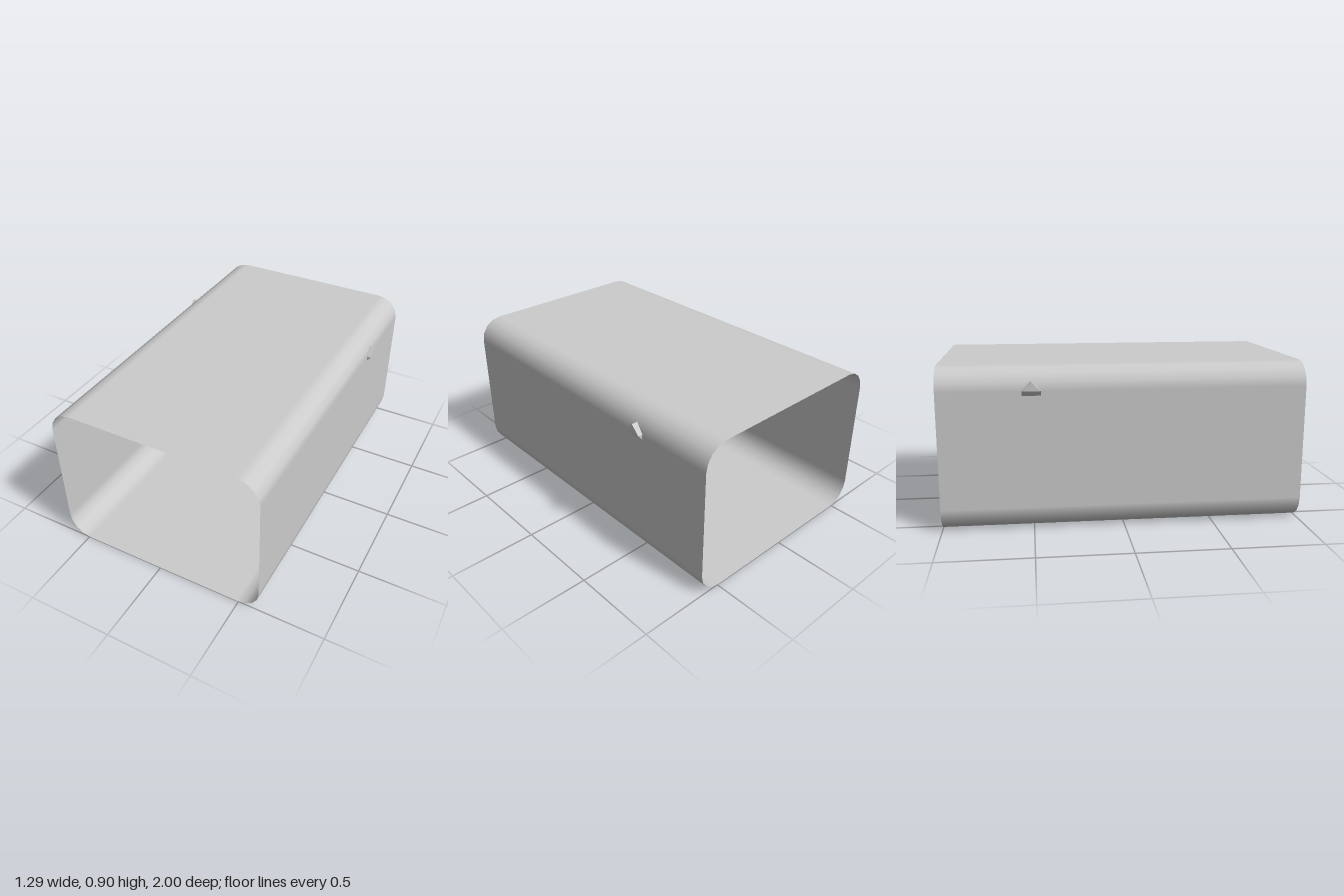
import * as THREE from 'three';
import { ConvexGeometry } from 'three/addons/geometries/ConvexGeometry.js';

const W = 1.24, H = 0.9, L = 2, R = 0.13, CORNER_STEPS = 4;

// Open-ended sleeve: a rounded rectangle swept along z, smooth across the corners.
function sleeveGeometry() {
  const pos = [], nor = [], idx = [];
  const corners = [[1, 1], [-1, 1], [-1, -1], [1, -1]];
  corners.forEach(([sx, sy], c) => {
    for (let i = 0; i <= CORNER_STEPS; i++) {
      const a = (c + i / CORNER_STEPS) * Math.PI / 2;
      const nx = Math.cos(a), ny = Math.sin(a);
      for (const z of [L / 2, -L / 2]) {
        pos.push(sx * (W / 2 - R) + nx * R, H / 2 + sy * (H / 2 - R) + ny * R, z);
        nor.push(nx, ny, 0);
      }
    }
  });
  const n = pos.length / 6;
  for (let i = 0; i < n; i++) {
    const a = 2 * i, b = 2 * ((i + 1) % n);
    idx.push(a, a + 1, b, b, a + 1, b + 1);
  }
  const g = new THREE.BufferGeometry();
  g.setAttribute('position', new THREE.Float32BufferAttribute(pos, 3));
  g.setAttribute('normal', new THREE.Float32BufferAttribute(nor, 3));
  g.setIndex(idx);
  return g;
}

// Faceted bar: ridges above and below, flat sides, ends tapering downwards.
function crossbarGeometry() {
  const rows = [[0.645, 0.825, 0], [0.645, 0.775, 0.05], [0.515, 0.63, 0.05], [0.41, 0.58, 0]];
  const points = [];
  for (const [x, y, z] of rows)
    for (const sx of [-1, 1])
      for (const sz of z ? [-1, 1] : [1]) points.push(new THREE.Vector3(sx * x, y, sz * z));
  return new ConvexGeometry(points);
}

export function createModel() {
  const model = new THREE.Group();
  model.name = 'sleeveWithCrossbar';

  const sleeve = new THREE.Mesh(sleeveGeometry(),
    new THREE.MeshStandardMaterial({ color: 0xcccccc, side: THREE.DoubleSide }));
  sleeve.name = 'sleeve';

  // The bar crosses the rear half, its tips poking out through both walls.
  const crossbar = new THREE.Mesh(crossbarGeometry(),
    new THREE.MeshStandardMaterial({ color: 0xcccccc, flatShading: true }));
  crossbar.name = 'crossbar';
  crossbar.position.z = -0.5;

  model.add(sleeve, crossbar);
  return model;
}
